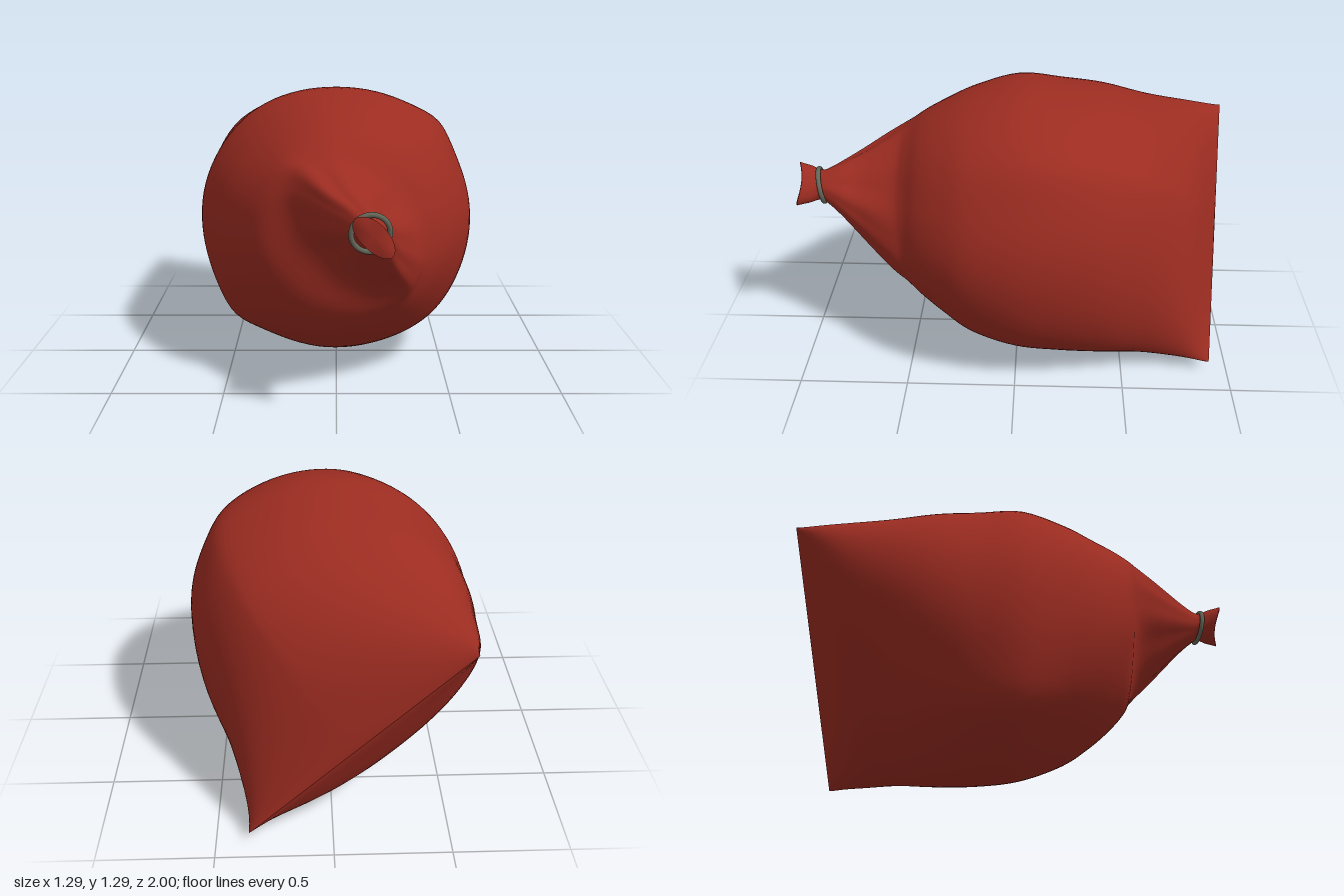
import * as THREE from 'three';

// Cross-sections from the back seam to the tied mouth: z, centre x, centre y,
// half size along the seam, then size and roundness (2 = ellipse, less = lens)
// of the upper side and of the lower side across the seam
const SECTIONS = [
  [-0.957, -0.09, 0.515, 0.645, 0.0, 1.5, 0.0, 2.3],
  [-0.93, -0.09, 0.517, 0.644, 0.08, 1.5, 0.05, 2.3],
  [-0.80, -0.09, 0.54, 0.64, 0.36, 1.5, 0.22, 2.3],
  [-0.60, -0.073, 0.575, 0.64, 0.58, 1.52, 0.38, 2.1],
  [-0.40, -0.04, 0.613, 0.652, 0.65, 1.7, 0.54, 2],
  [-0.20, -0.01, 0.642, 0.652, 0.66, 1.8, 0.64, 1.95],
  [0.00, 0.0, 0.663, 0.645, 0.645, 1.9, 0.655, 1.9],
  [0.20, 0.025, 0.68, 0.58, 0.575, 1.95, 0.58, 1.95],
  [0.33, 0.035, 0.70, 0.505, 0.485, 2, 0.51, 2],
  [0.43, 0.04, 0.72, 0.44, 0.39, 2, 0.43, 2],
  [0.50, 0.045, 0.737, 0.385, 0.295, 2, 0.34, 2],
  [0.56, 0.08, 0.765, 0.335, 0.205, 2, 0.19, 2],
  [0.70, 0.10, 0.80, 0.21, 0.125, 2, 0.115, 2],
  [0.80, 0.12, 0.83, 0.125, 0.085, 2, 0.085, 2],
  [0.87, 0.13, 0.845, 0.075, 0.06, 2, 0.06, 2],
  [0.90, 0.13, 0.848, 0.07, 0.052, 2, 0.052, 2],
  [0.94, 0.135, 0.852, 0.086, 0.05, 2, 0.05, 2],
  [0.985, 0.138, 0.855, 0.102, 0.052, 2, 0.052, 2],
];
const SIDES = 96;
const STEPS = 5;

// Catmull-Rom blend of the section table
function sectionAt(t) {
  const n = SECTIONS.length - 1;
  const i = Math.min(Math.floor(t), n - 1);
  const f = t - i;
  const row = (k) => SECTIONS[Math.max(0, Math.min(n, k))];
  return SECTIONS[0].map((_, c) => {
    const [p0, p1, p2, p3] = [row(i - 1)[c], row(i)[c], row(i + 1)[c], row(i + 2)[c]];
    return p1 + 0.5 * f * (p2 - p0 + f * (2 * p0 - 5 * p1 + 4 * p2 - p3 + f * (3 * (p1 - p2) + p3 - p0)));
  });
}

const bell = (x, centre, width) => Math.exp(-(((x - centre) / width) ** 2));
const power = (x, e) => Math.sign(x) * Math.abs(x) ** e;

// Radial scale of the cloth: body ridges, soft wrinkles and gathers at the neck
function folds(angle, z) {
  const across = Math.abs(Math.sin(angle)) ** 40;
  const ridge = bell(z, -0.1, 0.3) * 0.04 * across;
  const wrinkles = bell(z, 0.1, 0.4) * 0.004 * Math.sin(7 * angle + 4 * z + 1);
  const gathers = bell(z, 0.7, 0.17) * (0.03 * Math.cos(6 * angle) + 0.02 * Math.cos(10 * angle + 1));
  return 1 + ridge + wrinkles + gathers;
}

function sackGeometry() {
  const u = new THREE.Vector3(0.696, -0.718, 0); // along the back seam
  const v = new THREE.Vector3(0.718, 0.696, 0); // across it
  const positions = [];
  const index = [];
  const rings = (SECTIONS.length - 1) * STEPS;
  for (let i = 0; i <= rings; i++) {
    const [z, cx, cy, a, upper, upperRound, lower, lowerRound] = sectionAt(i / STEPS);
    const back = THREE.MathUtils.smoothstep(-z, 0.3, 0.957);
    const tip = THREE.MathUtils.smoothstep(z, 0.93, 0.985);
    for (let j = 0; j < SIDES; j++) {
      const angle = (j / SIDES) * Math.PI * 2;
      const s = folds(angle, z);
      const [b, roundness] = j < SIDES / 2 ? [upper, upperRound] : [lower, lowerRound];
      const along = power(Math.cos(angle), 2 / roundness);
      const p = u.clone().multiplyScalar(along * a * s)
        .addScaledVector(v, power(Math.sin(angle), 2 / roundness) * Math.max(b, 0) * s);
      const slant = 0.043 * back * along + 0.013 * tip * Math.cos(2 * angle);
      positions.push(cx + p.x, cy + p.y, z + slant);
    }
  }
  for (let i = 0; i < rings; i++) {
    for (let j = 0; j < SIDES; j++) {
      const k = (j + 1) % SIDES;
      const [p, q, r, s] = [i * SIDES + j, i * SIDES + k, (i + 1) * SIDES + j, (i + 1) * SIDES + k];
      index.push(p, q, r, q, s, r);
    }
  }
  // Slightly hollow cap on the gathered mouth
  const centre = positions.length / 3;
  positions.push(0.138, 0.855, 0.972);
  for (let j = 0; j < SIDES; j++) {
    index.push(rings * SIDES + j, rings * SIDES + ((j + 1) % SIDES), centre);
  }
  const geometry = new THREE.BufferGeometry();
  geometry.setAttribute('position', new THREE.Float32BufferAttribute(positions, 3));
  geometry.setIndex(index);
  geometry.computeVertexNormals();
  return geometry;
}

export function createModel() {
  const group = new THREE.Group();
  group.name = 'sack';

  const red = new THREE.MeshStandardMaterial({ color: 0x9c2c21 });
  red.name = 'red cloth';
  const grey = new THREE.MeshStandardMaterial({ color: 0x646657 });
  grey.name = 'grey green metal';

  // Cloth body with flat back seam and gathered neck
  const body = new THREE.Mesh(sackGeometry(), red);
  body.name = 'sackBody';
  group.add(body);

  // Ring holding the neck closed
  const ring = new THREE.Mesh(new THREE.TorusGeometry(0.076, 0.011, 12, 48), grey);
  ring.name = 'neckRing';
  ring.position.set(0.13, 0.845, 0.892);
  ring.rotation.set(0.13, 0.12, 0);
  group.add(ring);

  return group;
}
